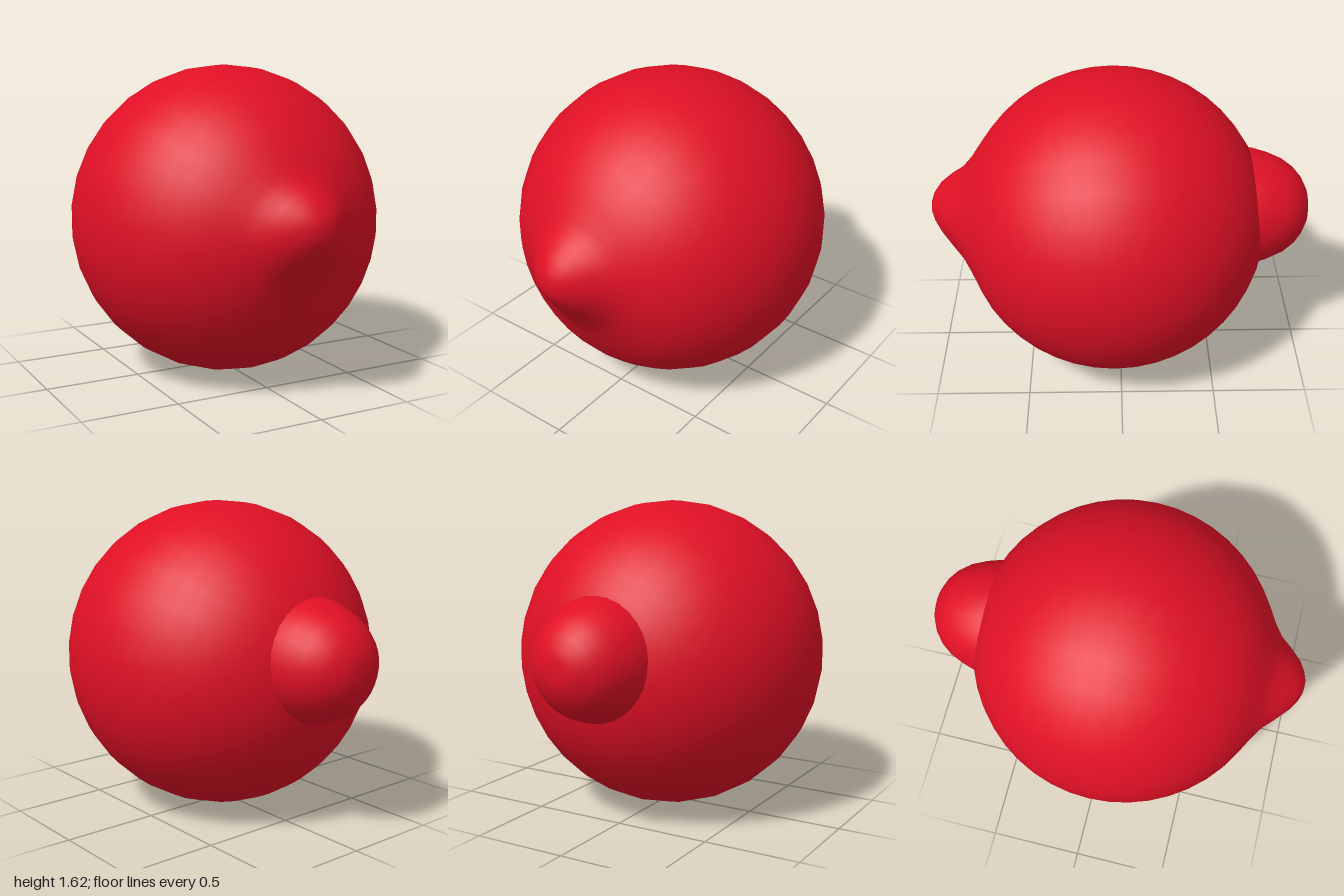
import * as THREE from 'three';

const SIDES = 30;
const CENTRE_Y = 0.815, CENTRE_Z = 0.035, RADIUS = 0.812;

// Turns [distance, radius] pairs into a lathe with its axis along +y
function turned(profile) {
  return new THREE.LatheGeometry(profile.map(([d, r]) => new THREE.Vector2(r, d)), SIDES);
}

export function createModel() {
  const group = new THREE.Group();
  const red = new THREE.MeshStandardMaterial({ color: 0xe01025 });

  // Round body, running from the back pole to the flare of the nose
  const profile = [];
  const steps = 20, end = Math.acos((0.74 - CENTRE_Z) / RADIUS);
  for (let i = 0; i <= steps; i++) {
    const a = Math.PI + (end - Math.PI) * i / steps;
    profile.push([CENTRE_Z + RADIUS * Math.cos(a), i === 0 ? 0 : RADIUS * Math.sin(a)]);
  }
  // Pointed nose growing smoothly out of the front
  profile.push([0.79, 0.315], [0.835, 0.25], [0.89, 0.198], [0.95, 0.135], [0.985, 0.08], [1.0, 0.04], [1.0, 0]);
  const bodyGeo = turned(profile);
  bodyGeo.rotateX(Math.PI / 2);

  // Lift the nose a little above the middle of the body
  const p = bodyGeo.attributes.position;
  for (let i = 0; i < p.count; i++) {
    const lift = 0.085 * THREE.MathUtils.smoothstep(p.getZ(i), 0.68, 1.0);
    p.setY(i, p.getY(i) + lift);
  }
  const body = new THREE.Mesh(bodyGeo, red);
  body.name = 'bodyWithNose';
  body.position.y = CENTRE_Y;
  group.add(body);

  // Rounded knob set into the back
  const knobGeo = turned([
    [0.6, 0.325], [0.7, 0.312], [0.78, 0.288], [0.86, 0.253],
    [0.92, 0.208], [0.96, 0.16], [0.99, 0.1], [1.0, 0.055], [1.0, 0],
  ]);
  knobGeo.rotateX(-Math.PI / 2);
  const knob = new THREE.Mesh(knobGeo, red);
  knob.name = 'backKnob';
  knob.position.y = 0.885;
  group.add(knob);

  return group;
}
